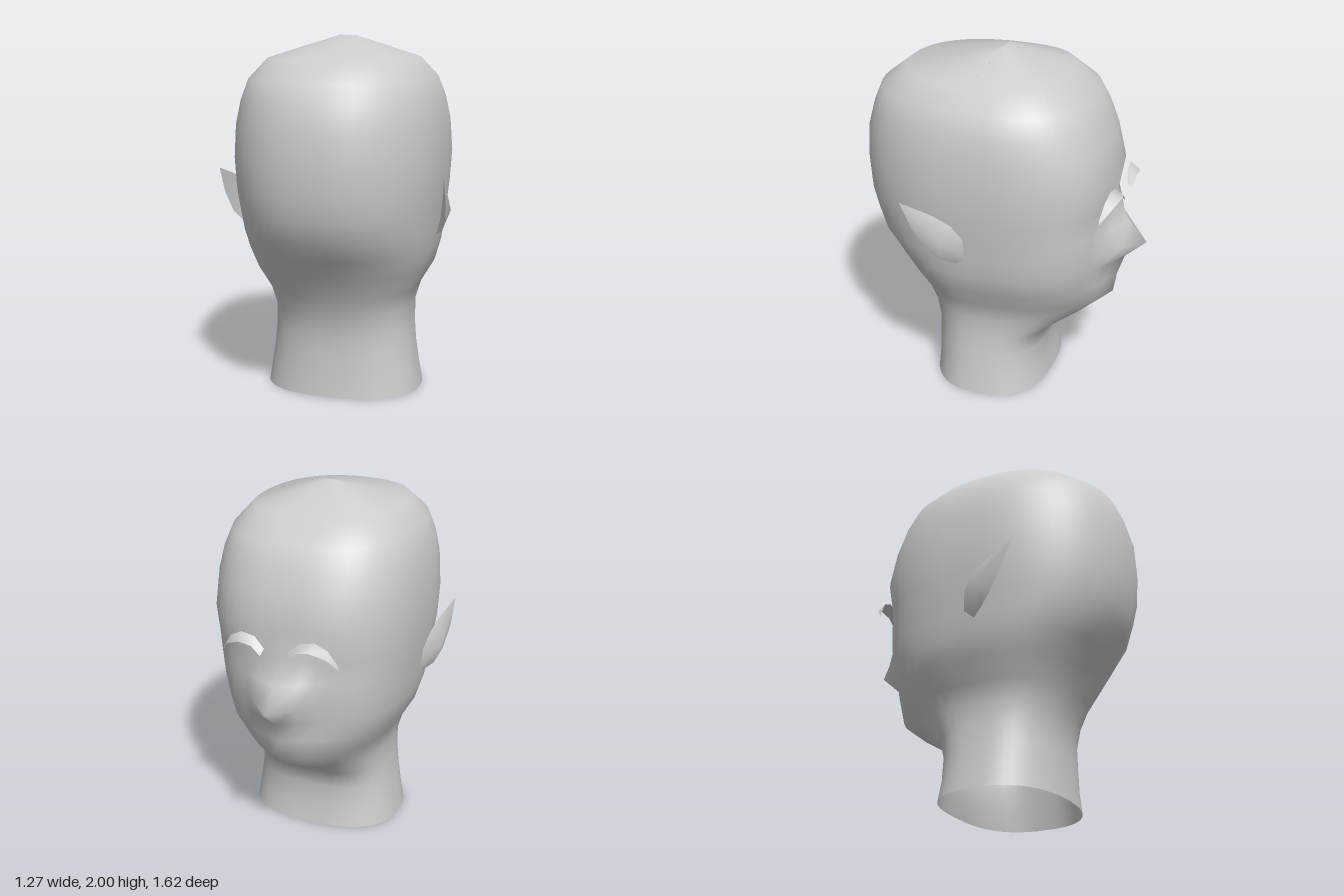
import * as THREE from 'three';

const skin = new THREE.MeshStandardMaterial({ color: 0xcccccc, side: THREE.DoubleSide });
skin.name = 'skin';

function makeMesh(name, points, index) {
  const g = new THREE.BufferGeometry();
  g.setAttribute('position', new THREE.Float32BufferAttribute(points.flat(), 3));
  g.setIndex(index);
  g.computeVertexNormals();
  const mesh = new THREE.Mesh(g, skin);
  mesh.name = name;
  return mesh;
}

// Head and neck: y, half width, back z, face z, extra reach of the nose and mouth ridge
const SECTIONS = [
  [0, 0.445, 0.41, -0.28, 0],
  [0.12, 0.425, 0.40, -0.26, 0],
  [0.25, 0.405, 0.40, -0.26, 0],
  [0.36, 0.395, 0.40, -0.29, 0],
  [0.48, 0.39, 0.43, -0.46, 0.03],
  [0.59, 0.42, 0.48, -0.56, 0.07],
  [0.71, 0.49, 0.55, -0.575, 0.075],
  [0.83, 0.525, 0.64, -0.59, 0.10],
  [0.94, 0.54, 0.73, -0.61, 0.20],
  [1.06, 0.555, 0.77, -0.61, 0.09],
  [1.18, 0.57, 0.80, -0.605, 0.005],
  [1.35, 0.58, 0.81, -0.635, 0],
  [1.53, 0.57, 0.80, -0.59, 0],
  [1.66, 0.545, 0.765, -0.54, 0],
  [1.77, 0.505, 0.72, -0.48, 0],
  [1.88, 0.41, 0.58, -0.34, 0],
  [2.0, 0.05, 0.025, 0.025, 0],
];

function makeHead() {
  const N = 48, points = [], index = [];
  SECTIONS.forEach(([y, w, back, face, ridge], i) => {
    const centre = Math.min(0.08, (y > 1.9) ? 0.025 : 0.08);
    for (let j = 0; j < N; j++) {
      const a = (j / N) * Math.PI * 2, s = Math.sin(a), c = Math.cos(a);
      const isFront = c > 0;
      // Squarer at the face, rounder at the back and under the jaw
      const p = 2 / (isFront ? (y > 0.4 && y < 0.65 ? 2.3 : 2.65) : 2.3);
      const x = w * Math.sign(s) * Math.abs(s) ** p;
      const reach = Math.abs(c) ** p;
      let z = centre + (isFront ? face - centre : back - centre) * reach;
      if (isFront) z -= ridge * Math.max(0, 1 - Math.abs(x) / 0.22);
      points.push([x, y, z]);
      if (i < SECTIONS.length - 1) {
        const r = i * N, k = (j + 1) % N;
        index.push(r + k, r + j, r + N + j, r + k, r + N + j, r + N + k);
      }
    }
  });
  return makeMesh('headAndNeck', points, index);
}

// Pointed ear: rim plus an outer and an inner hub
const EAR_RIM = [
  [0.635, 1.275, 0.40], [0.60, 1.215, 0.24], [0.58, 1.155, 0.13],
  [0.56, 1.07, 0.07], [0.55, 0.955, 0.065], [0.54, 0.91, 0.12],
  [0.585, 0.94, 0.19], [0.615, 1.01, 0.26], [0.633, 1.13, 0.335],
];

function makeEar(side, name) {
  const ear = new THREE.Group();
  ear.name = name;
  const n = EAR_RIM.length;
  for (const [part, hubX, outer] of [['earOuter', 0.632, true], ['earInner', 0.59, false]]) {
    const points = [...EAR_RIM, [hubX, 1.06, 0.18]].map(([x, y, z]) => [x * side, y, z]);
    const index = [];
    for (let j = 0; j < n; j++) {
      const k = (j + 1) % n;
      index.push(n, ...(outer === side > 0 ? [k, j] : [j, k]));
    }
    ear.add(makeMesh(part, points, index));
  }
  return ear;
}

// Arched eyebrow: a thin ledge between a rear and a front edge
const BROW_REAR = [[0.07, 1.25, -0.665], [0.13, 1.305, -0.65], [0.21, 1.32, -0.645], [0.28, 1.285, -0.635], [0.335, 1.20, -0.62]];
const BROW_FRONT = [[0.08, 1.22, -0.695], [0.13, 1.27, -0.70], [0.20, 1.285, -0.705], [0.285, 1.25, -0.675], [0.34, 1.18, -0.625]];

function makeBrow(side, name) {
  const n = BROW_REAR.length, index = [];
  const points = [...BROW_REAR, ...BROW_FRONT].map(([x, y, z]) => [x * side, y, z]);
  for (let j = 0; j < n - 1; j++) {
    const quad = [[j, j + 1, n + j], [j + 1, n + j + 1, n + j]];
    for (const [a, b, c] of quad) index.push(...(side > 0 ? [a, b, c] : [a, c, b]));
  }
  return makeMesh(name, points, index);
}

export function createModel() {
  const model = new THREE.Group();
  model.name = 'head';
  model.add(makeHead());
  for (const [side, label] of [[1, 'left'], [-1, 'right']]) {
    model.add(makeEar(side, label + 'Ear'), makeBrow(side, label + 'Eyebrow'));
  }
  return model;
}
